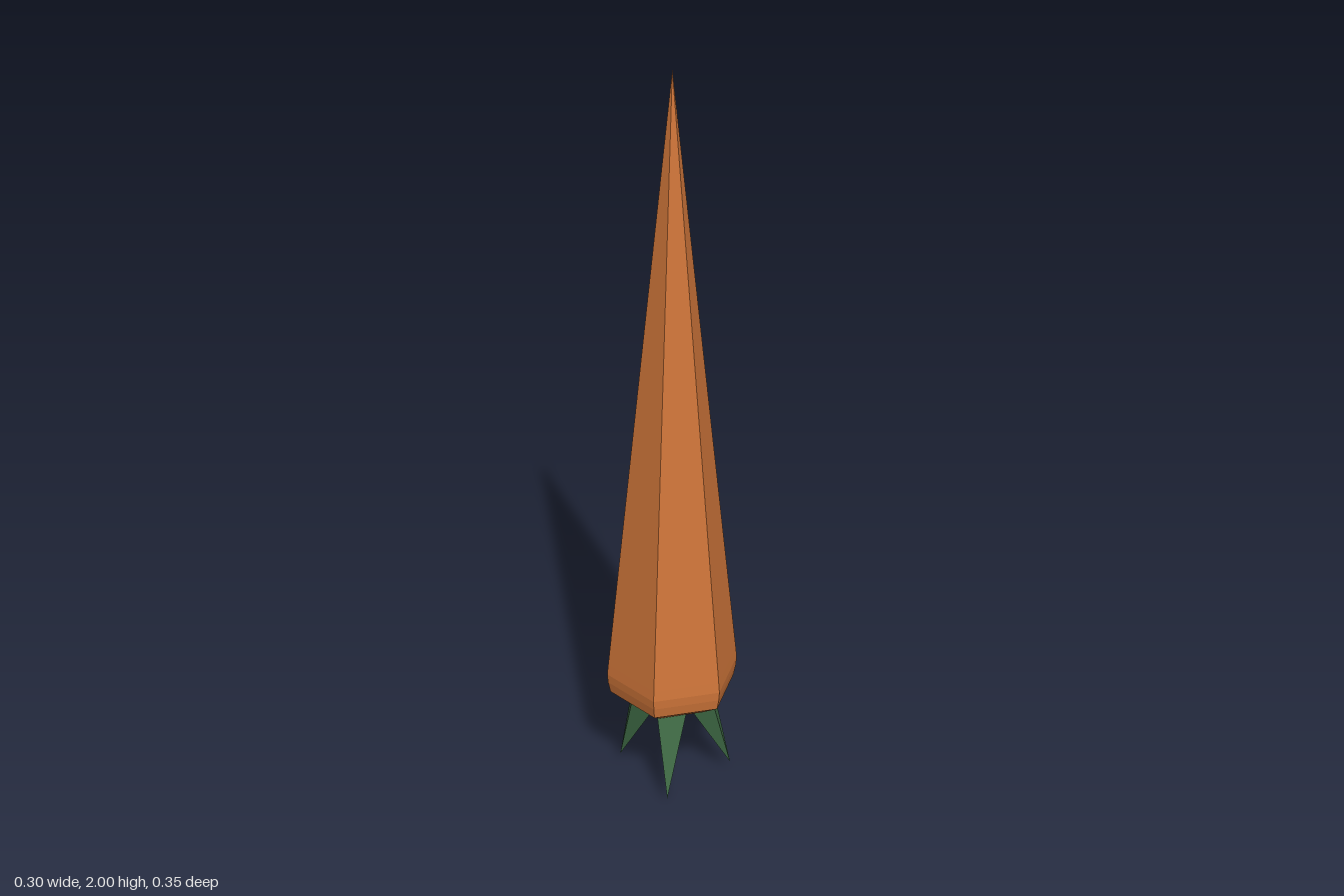
import * as THREE from 'three';

const orange = new THREE.MeshStandardMaterial({ color: 0xd0763a, flatShading: true });
const green = new THREE.MeshStandardMaterial({ color: 0x3f6b45, flatShading: true });

// Pointed leaf hanging from a base centre and leaning out to its tip
function makeLeaf(base, tip, radius) {
  const height = base.y - tip.y;
  const geo = new THREE.ConeGeometry(radius, height, 4);
  geo.rotateX(Math.PI);
  geo.translate(0, height / 2 + tip.y, 0);
  const pos = geo.attributes.position;
  for (let i = 0; i < pos.count; i++) {
    const t = (base.y - pos.getY(i)) / height;
    pos.setX(i, pos.getX(i) + THREE.MathUtils.lerp(base.x, tip.x, t));
    pos.setZ(i, pos.getZ(i) + THREE.MathUtils.lerp(base.z, tip.z, t));
  }
  geo.computeVertexNormals();
  return new THREE.Mesh(geo, green);
}

export function createModel() {
  const model = new THREE.Group();

  // Six-sided tapering root, tip up, with a bevelled shoulder
  const profile = [
    [0, 0.245], [0.116, 0.245], [0.166, 0.28], [0.172, 0.31],
    [0.174, 0.335], [0.171, 0.365], [0, 1.995],
  ].map(([r, y]) => new THREE.Vector2(r, y));
  const root = new THREE.Mesh(new THREE.LatheGeometry(profile, 6), orange);
  root.name = 'root';
  model.add(root);

  // Four leaves splayed below the root
  const leaves = new THREE.Group();
  leaves.name = 'leaves';
  const tips = [
    [-0.117, 0.02, 0.102], [-0.077, 0.03, -0.12],
    [0.12, 0.0, -0.092], [0.107, 0.03, 0.11],
  ];
  tips.forEach(([x, y, z], i) => {
    const base = new THREE.Vector3(Math.sign(x) * 0.045, 0.26, Math.sign(z) * 0.045);
    const leaf = makeLeaf(base, new THREE.Vector3(x, y, z), 0.055);
    leaf.name = `leaf${i + 1}`;
    leaves.add(leaf);
  });
  model.add(leaves);

  return model;
}
